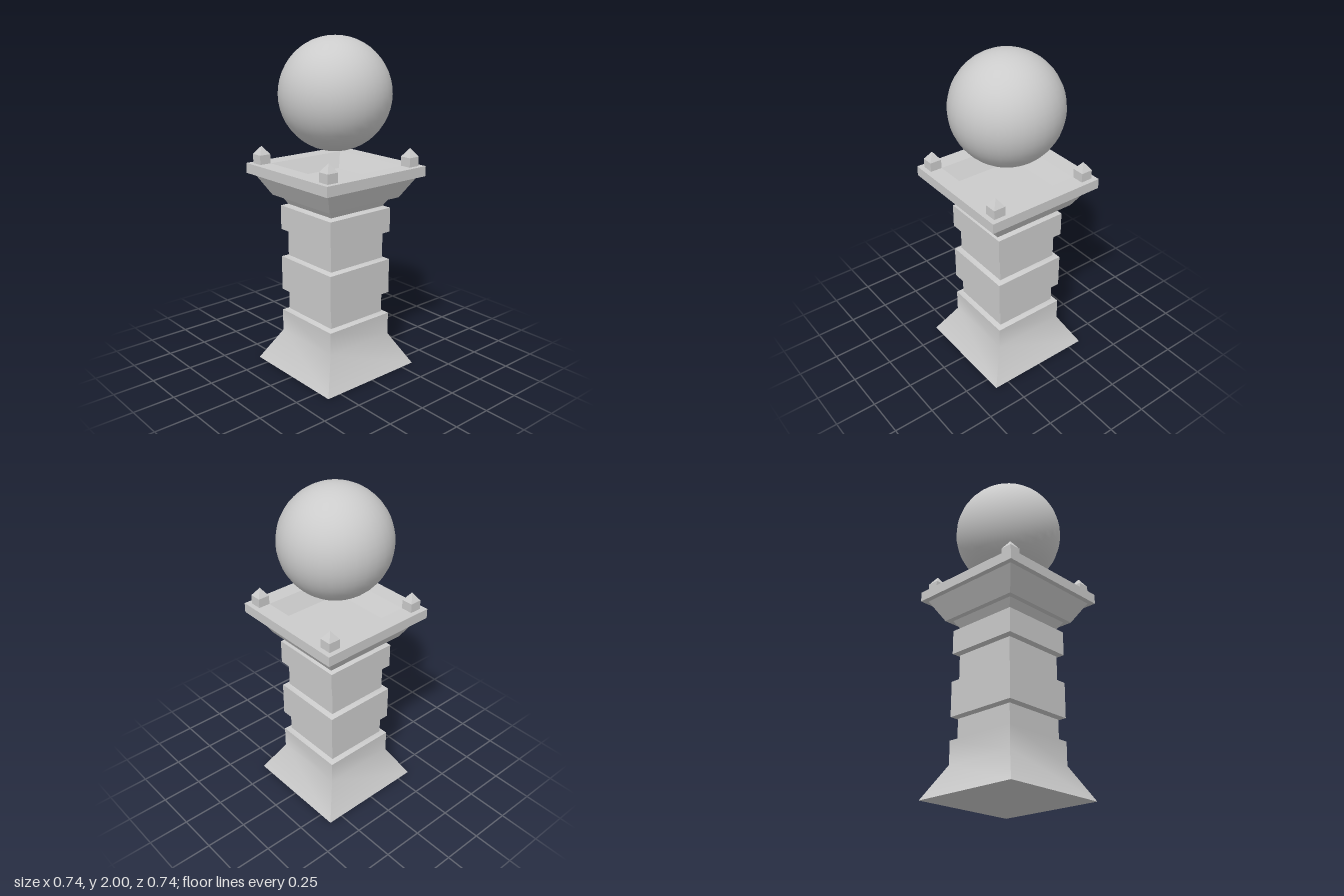
import * as THREE from 'three';
import { toCreasedNormals } from 'three/addons/utils/BufferGeometryUtils.js';

const material = new THREE.MeshStandardMaterial({ color: 0xcccccc });

// Sweeps a [half-width, height] profile around a square plan.
function squareLathe(name, profile) {
  const points = profile.map(([w, y]) => new THREE.Vector2(w * Math.SQRT2, y));
  const geometry = new THREE.LatheGeometry(points, 4).rotateY(Math.PI / 4);
  const mesh = new THREE.Mesh(toCreasedNormals(geometry, 0.55), material);
  mesh.name = name;
  return mesh;
}

export function createModel() {
  const group = new THREE.Group();
  group.name = 'pedestalWithOrb';

  // Flared foot, closed underneath
  group.add(squareLathe('base', [
    [0, 0], [0.34, 0], [0.23, 0.195], [0.23, 0.333], [0.2, 0.343],
  ]));

  // Shaft with two wider bands, each with bevelled ledges
  group.add(squareLathe('shaft', [
    [0.2, 0.343], [0.2, 0.46],
    [0.23, 0.47], [0.23, 0.683], [0.2, 0.693], [0.2, 0.847],
    [0.23, 0.857], [0.23, 1.005], [0.197, 1.015],
  ]));

  // Stepped capital, flat rim and sunken basin
  group.add(squareLathe('capital', [
    [0.197, 1.015], [0.232, 1.07], [0.265, 1.07], [0.34, 1.2],
    [0.372, 1.2], [0.372, 1.26], [0.27, 1.26], [0.21, 1.17], [0, 1.17],
  ]));

  // Pointed finials on the rim corners
  for (const x of [-1, 1]) {
    for (const z of [-1, 1]) {
      const finial = squareLathe('finial', [
        [0.036, 0], [0.036, 0.055], [0, 0.105],
      ]);
      finial.position.set(x * 0.306, 1.26, z * 0.306);
      group.add(finial);
    }
  }

  // Floating orb
  const orb = new THREE.Mesh(new THREE.SphereGeometry(0.327, 32, 24), material);
  orb.name = 'orb';
  orb.position.y = 1.673;
  group.add(orb);

  return group;
}
